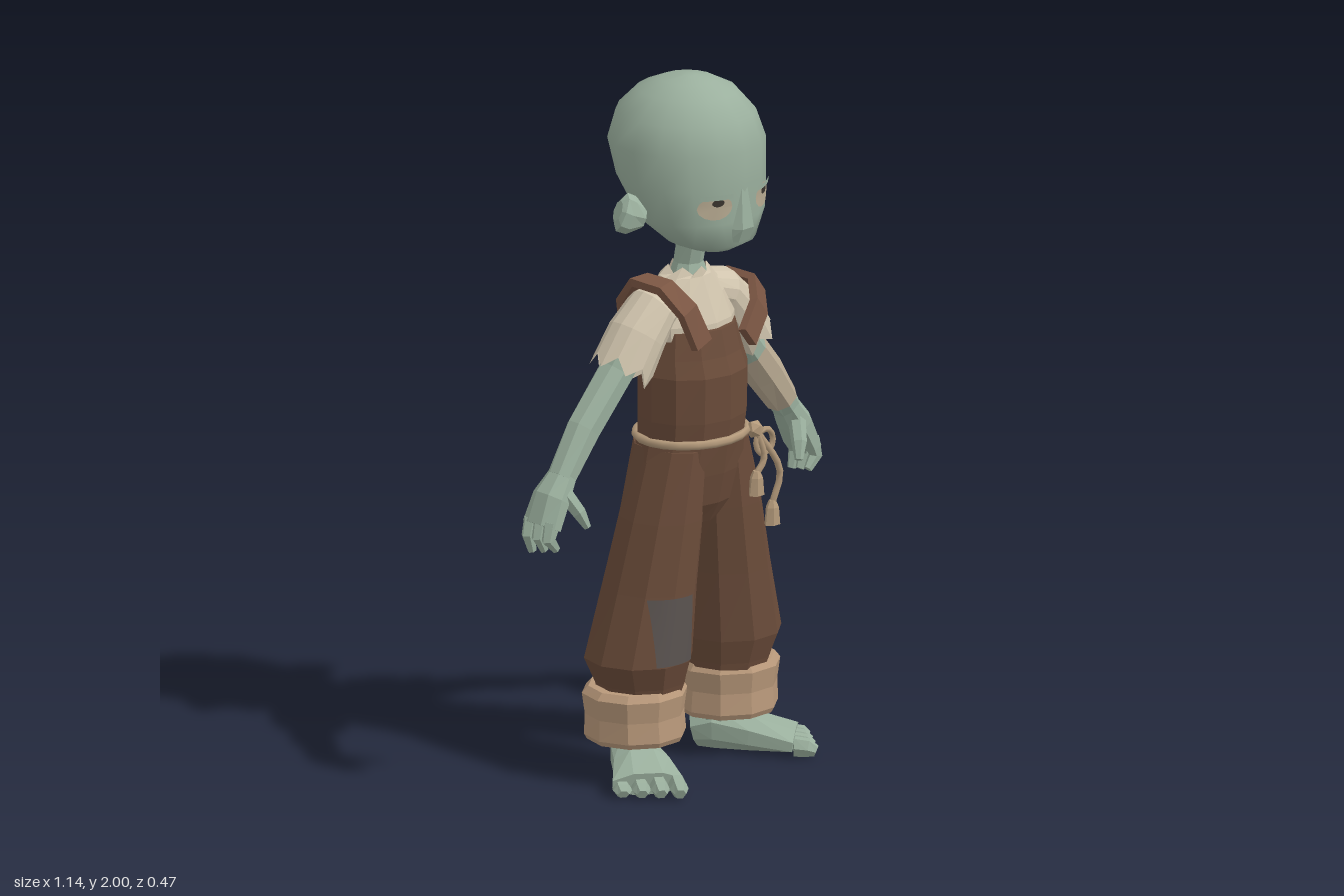
import * as THREE from 'three';

const mat = (name, color, side = THREE.FrontSide) => {
  const m = new THREE.MeshStandardMaterial({ color, side });
  m.name = name;
  return m;
};
const X = new THREE.Vector3(1, 0, 0), Y = new THREE.Vector3(0, 1, 0), Z = new THREE.Vector3(0, 0, 1);

// Skin through rings [x, y, z, halfWidth, halfDepth]. "level" keeps rings horizontal,
// "boxy" turns flat sides to the axes, "jag" makes the last ring ragged.
function loft(rows, { n = 10, ref = Z, level = false, boxy = false, open = false, jag = 0, smooth = false } = {}) {
  const c = rows.map(r => new THREE.Vector3(r[0], r[1], r[2]));
  const pos = [], idx = [];
  const off = boxy ? 0.5 : 0, grow = boxy ? 1 / Math.cos(Math.PI / n) : 1;
  rows.forEach((r, k) => {
    const T = level ? Y : c[Math.min(k + 1, c.length - 1)].clone().sub(c[Math.max(k - 1, 0)]).normalize();
    const U = ref.clone().cross(T).normalize(), V = T.clone().cross(U);
    for (let i = 0; i < n; i++) {
      const t = (i + off) / n * Math.PI * 2;
      const p = c[k].clone().addScaledVector(U, Math.cos(t) * r[3] * grow).addScaledVector(V, Math.sin(t) * r[4] * grow);
      if (jag && k === rows.length - 1) p.addScaledVector(T, (i % 2 ? 1 : -0.6) * jag);
      pos.push(p.x, p.y, p.z);
    }
  });
  for (let k = 0; k < rows.length - 1; k++) for (let i = 0; i < n; i++) {
    const a = k * n + i, b = k * n + (i + 1) % n;
    idx.push(a, b, b + n, a, b + n, a + n);
  }
  const last = (rows.length - 1) * n;
  if (!open) for (let i = 1; i < n - 1; i++) idx.push(0, i + 1, i, last, last + i, last + i + 1);
  let g = new THREE.BufferGeometry();
  g.setAttribute('position', new THREE.Float32BufferAttribute(pos, 3));
  g.setIndex(idx);
  if (!smooth) g = g.toNonIndexed();
  g.computeVertexNormals();
  return g;
}

// Thin piece laid over the front of a level loft
function overlay(rows, cx, cy, w, h, lift, round = false) {
  const g = round ? new THREE.CircleGeometry(0.5, 14) : new THREE.PlaneGeometry(1, 1, 6, 6);
  const p = g.attributes.position;
  for (let i = 0; i < p.count; i++) {
    const x = cx + p.getX(i) * w, y = cy + p.getY(i) * h;
    const k = Math.max(0, rows.findIndex((r, j) => j < rows.length - 1 && Math.min(r[1], rows[j + 1][1]) <= y && Math.max(r[1], rows[j + 1][1]) >= y));
    const A = rows[k], B = rows[k + 1], t = (y - A[1]) / (B[1] - A[1]);
    const [rx, , rz, a, b] = A.map((v, j) => v + (B[j] - v) * t);
    p.setXYZ(i, x, y, rz + b * Math.sqrt(Math.max(0, 1 - ((x - rx) / a) ** 2)) + lift);
  }
  g.computeVertexNormals();
  return g;
}

export function createModel() {
  const model = new THREE.Group();
  const skin = mat('green skin', 0x9bb09e), brown = mat('brown cloth', 0x6b4c3a);
  const strapMat = mat('strap leather', 0x7b5643), cream = mat('cream shirt', 0xd0c4ad, THREE.DoubleSide);
  const cuffMat = mat('cuff tan', 0xb8987a), ropeMat = mat('rope', 0xb49a7b);
  const eyeMat = mat('eye tan', 0xb8ab92), dark = mat('pupil', 0x3a342e);
  const patchMat = mat('blue grey patch', 0x5a5350), wrapMat = mat('arm wrap', 0xb9aa92);
  const add = (name, geo, m, parent = model) => {
    const o = new THREE.Mesh(geo, m);
    o.name = name;
    parent.add(o);
    return o;
  };
  const mir = (rows, s) => rows.map(([x, ...r]) => [x * s, ...r]);

  // Head
  const head = [
    [0, 1.52, 0.08, 0.06, 0.07], [0, 1.55, 0.085, 0.13, 0.12], [0, 1.62, 0.045, 0.195, 0.165],
    [0, 1.72, 0.01, 0.213, 0.205], [0, 1.82, -0.007, 0.218, 0.223], [0, 1.9, -0.01, 0.19, 0.2],
    [0, 1.96, -0.005, 0.135, 0.145], [0, 1.99, 0, 0.075, 0.08], [0, 2, 0, 0.02, 0.02]];
  add('head', loft(head, { n: 16, level: true, smooth: true }), skin);
  add('nose', loft([[0, 1.56, 0.185, 0.045, 0.03], [0, 1.6, 0.195, 0.045, 0.037], [0, 1.72, 0.2, 0.022, 0.014]],
    { n: 6, level: true }), skin);
  add('neck', loft([[0, 1.4, 0, 0.065, 0.06], [0, 1.46, 0, 0.042, 0.042], [0, 1.56, 0.02, 0.04, 0.045]], { n: 8, level: true }), skin);

  // Clothing on the body
  add('shirt', loft([[0, 1.18, 0, 0.15, 0.12], [0, 1.3, 0, 0.15, 0.108], [0, 1.37, -0.01, 0.135, 0.088],
    [0, 1.425, -0.01, 0.085, 0.065], [0, 1.44, -0.005, 0.055, 0.055]], { n: 12, level: true, open: true, jag: 0.014 }), cream);
  add('overallBib', loft([[0, 0.96, 0.01, 0.165, 0.14], [0, 1.03, 0.015, 0.168, 0.145], [0, 1.16, 0.015, 0.168, 0.147],
    [0, 1.21, 0.008, 0.158, 0.135], [0, 1.285, 0.003, 0.14, 0.122]], { n: 12, level: true }), brown);
  add('hips', loft([[0, 0.72, 0, 0.09, 0.08], [0, 0.78, 0, 0.17, 0.115], [0, 0.87, 0.005, 0.19, 0.13],
    [0, 0.98, 0.01, 0.168, 0.143]], { n: 12, level: true }), brown);

  // Shoulder strap, and the other one slipped down around the arm
  add('shoulderStrap', loft([[-0.085, 1.26, 0.13, 0.012, 0.033], [-0.12, 1.36, 0.108, 0.012, 0.033], [-0.15, 1.425, 0.05, 0.012, 0.033],
    [-0.155, 1.43, -0.04, 0.012, 0.033], [-0.13, 1.36, -0.11, 0.012, 0.033], [-0.1, 1.25, -0.125, 0.012, 0.033]],
    { n: 4, ref: X, boxy: true }), strapMat);
  add('slippedStrap', loft([[0.1, 1.24, 0.13, 0.012, 0.035], [0.18, 1.305, 0.1, 0.012, 0.035], [0.235, 1.345, 0.04, 0.012, 0.035],
    [0.24, 1.345, -0.06, 0.012, 0.035], [0.18, 1.31, -0.12, 0.012, 0.035], [0.09, 1.26, -0.125, 0.012, 0.035]],
    { n: 4, ref: new THREE.Vector3(0.6, -0.8, 0), boxy: true }), strapMat);

  // Rope belt with knot and hanging ends
  const belt = add('ropeBelt', new THREE.TorusGeometry(0.165, 0.013, 6, 20), ropeMat);
  belt.rotation.x = Math.PI / 2;
  belt.scale.y = 0.88;
  belt.position.set(0, 0.97, 0.01);
  const knot = add('ropeKnot', new THREE.IcosahedronGeometry(0.027), ropeMat);
  knot.position.set(0.135, 0.965, 0.125);
  [[0.125, 0.8], [0.19, 0.7]].forEach(([x, y]) => {
    const curve = new THREE.CatmullRomCurve3([new THREE.Vector3(0.135, 0.96, 0.135),
      new THREE.Vector3(x + 0.025, (y + 0.96) / 2, 0.148), new THREE.Vector3(x, y + 0.04, 0.142)]);
    add('ropeEnd', new THREE.TubeGeometry(curve, 8, 0.01, 5), ropeMat);
    add('ropeTassel', loft([[x, y + 0.05, 0.142, 0.01, 0.01], [x, y + 0.03, 0.142, 0.02, 0.018], [x, y - 0.02, 0.142, 0.027, 0.02]],
      { n: 6, level: false, jag: 0 }), ropeMat);
  });
  add('ropeLoop', new THREE.TorusGeometry(0.035, 0.009, 5, 12), ropeMat).position.set(0.165, 0.925, 0.135);

  for (const s of [1, -1]) {
    const side = s > 0 ? 'left' : 'right';

    // Face and ears
    add(side + 'EyeArea', overlay(head, s * 0.095, 1.672, 0.095, 0.07, 0.003, true), eyeMat);
    add(side + 'Pupil', overlay(head, s * 0.092, 1.687, 0.034, 0.022, 0.006, true), dark);
    add(side + 'EyeLid', overlay(head, s * 0.095, 1.703, 0.09, 0.014, 0.009), skin);
    add(side + 'Ear', loft(mir([[0.195, 1.63, 0.01, 0.03, 0.03], [0.225, 1.64, -0.01, 0.055, 0.035],
      [0.245, 1.65, -0.025, 0.056, 0.04], [0.256, 1.655, -0.03, 0.03, 0.025]], s), { n: 8 }), skin);

    // Sleeve and arm
    add(side + 'Sleeve', loft(mir([[0.05, 1.37, -0.01, 0.055, 0.06], [0.13, 1.345, -0.015, 0.068, 0.08],
      [0.19, 1.28, -0.02, 0.078, 0.088], [0.245, 1.195, -0.025, 0.085, 0.09]], s), { n: 14, open: true, jag: 0.025 }), cream);
    add(side + 'Arm', loft(mir([[0.15, 1.33, -0.02, 0.05, 0.05], [0.245, 1.185, -0.045, 0.048, 0.048],
      [0.37, 1.04, -0.055, 0.049, 0.045], [0.46, 0.92, -0.055, 0.036, 0.04]], s), { n: 8, boxy: true }), skin);
    if (s > 0) add('armWrap', loft([[0.3, 1.121, -0.051, 0.053, 0.05], [0.37, 1.04, -0.055, 0.053, 0.049],
      [0.44, 0.947, -0.055, 0.043, 0.045]], { n: 8, boxy: true, open: true }), wrapMat);

    // Hand with thumb and fingers
    const hand = new THREE.Group();
    hand.name = side + 'Hand';
    model.add(hand);
    add('palm', loft(mir([[0.452, 0.93, -0.055, 0.034, 0.04], [0.495, 0.87, -0.06, 0.042, 0.055],
      [0.532, 0.795, -0.062, 0.034, 0.06]], s), { n: 8, boxy: true }), skin, hand);
    for (let i = 0; i < 3; i++) {
      const z = -0.1 + i * 0.038;
      add('finger', loft(mir([[0.53, 0.81, z, 0.03, 0.02], [0.545, 0.765, z, 0.023, 0.018],
        [0.53 - i * 0.008, 0.715 + i * 0.008, z, 0.013, 0.012]], s), { n: 6 }), skin, hand);
    }
    add('thumb', loft(mir([[0.475, 0.885, -0.03, 0.025, 0.025], [0.45, 0.83, 0.002, 0.022, 0.022],
      [0.432, 0.785, 0.018, 0.011, 0.012]], s), { n: 6 }), skin, hand);

    // Trouser leg and rolled cuff
    const leg = mir([[0.172, 0.24, -0.02, 0.12, 0.12], [0.175, 0.28, -0.02, 0.128, 0.13], [0.182, 0.35, -0.022, 0.152, 0.155],
      [0.15, 0.55, -0.01, 0.13, 0.142], [0.118, 0.75, 0.005, 0.113, 0.128], [0.087, 0.95, 0.01, 0.083, 0.12]], s);
    add(side + 'TrouserLeg', loft(leg, { n: 10, level: true }), brown);
    if (s < 0) add('kneePatch', overlay(leg, -0.19, 0.45, 0.13, 0.19, 0.003), patchMat);
    add(side + 'Cuff', loft(mir([[0.187, 0.115, -0.028, 0.138, 0.135], [0.188, 0.13, -0.028, 0.146, 0.143],
      [0.19, 0.19, -0.028, 0.143, 0.138], [0.19, 0.25, -0.028, 0.152, 0.146], [0.188, 0.27, -0.026, 0.137, 0.13]], s),
      { n: 10, level: true }), cuffMat);

    // Ankle and splayed foot with toes
    add(side + 'Ankle', loft(mir([[0.17, 0.03, -0.045, 0.05, 0.055], [0.175, 0.2, -0.035, 0.06, 0.06]], s), { n: 8, level: true }), skin);
    const foot = new THREE.Group();
    foot.name = side + 'Foot';
    model.add(foot);
    add('sole', loft(mir([[0.14, 0.045, -0.105, 0.045, 0.045], [0.17, 0.06, -0.055, 0.062, 0.06],
      [0.225, 0.05, 0.03, 0.078, 0.05], [0.3, 0.032, 0.125, 0.1, 0.032]], s), { n: 8, ref: Y, boxy: true }), skin, foot);
    for (let i = 0; i < 4; i++) {
      const d = i - 1.5, x = 0.295 + d * 0.037, z = 0.125 - d * 0.036, r = 0.03 - i * 0.002, len = 1 - i * 0.1;
      add('toe', loft(mir([[x, r, z, 0.026, r], [x + 0.024 * len, r * 0.9, z + 0.03 * len, 0.027, r * 0.9],
        [x + 0.038 * len, r * 0.6, z + 0.048 * len, 0.016, r * 0.55]], s), { n: 6, ref: Y }), skin, foot);
    }
  }
  return model;
}
